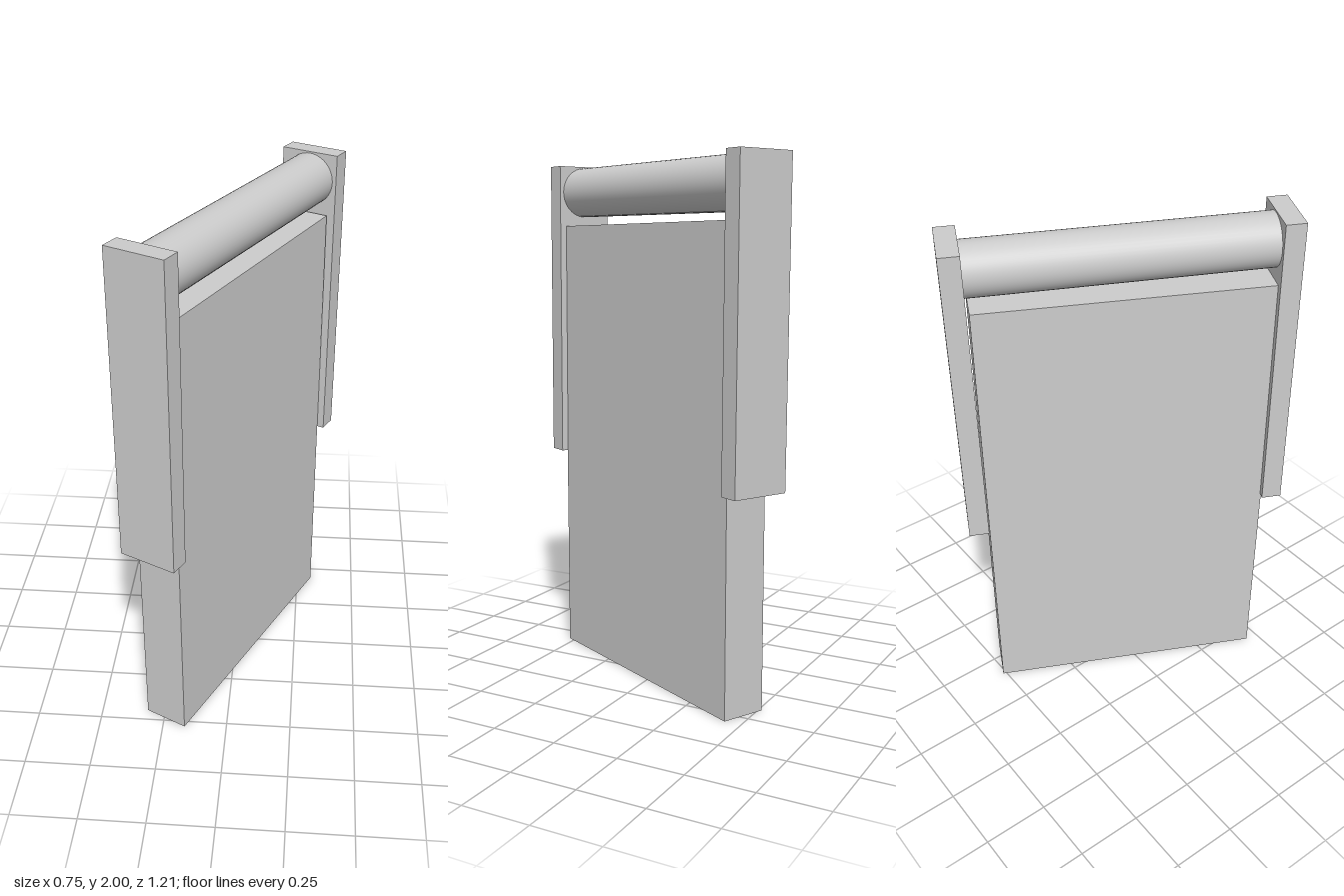
import * as THREE from 'three';

export function createModel() {
  const model = new THREE.Group();
  const material = new THREE.MeshStandardMaterial({ color: 0xcccccc });

  // Everything is laid out along local x, then turned about the vertical axis
  const assembly = new THREE.Group();
  assembly.name = 'assembly';
  assembly.rotation.y = 1.111;
  model.add(assembly);

  const add = (parent, name, geometry, x, y) => {
    const mesh = new THREE.Mesh(geometry, material);
    mesh.name = name;
    mesh.position.set(x, y, 0);
    parent.add(mesh);
    return mesh;
  };

  // Upright slab standing on the ground
  add(assembly, 'panel', new THREE.BoxGeometry(1.075, 1.76, 0.173), -0.008, 0.88);

  // Roller and its end plates, hanging with a very slight tilt
  const rollerFrame = new THREE.Group();
  rollerFrame.name = 'rollerFrame';
  rollerFrame.position.y = 1.41;
  rollerFrame.rotation.z = -0.008;
  assembly.add(rollerFrame);

  for (const side of [-1, 1]) {
    add(rollerFrame, side < 0 ? 'frontEndPlate' : 'backEndPlate',
      new THREE.BoxGeometry(0.075, 1.17, 0.226), side * 0.575, 0);
  }

  const roller = add(rollerFrame, 'roller',
    new THREE.CylinderGeometry(0.098, 0.098, 1.075, 48), 0, 0.481);
  roller.rotation.z = Math.PI / 2;

  return model;
}
